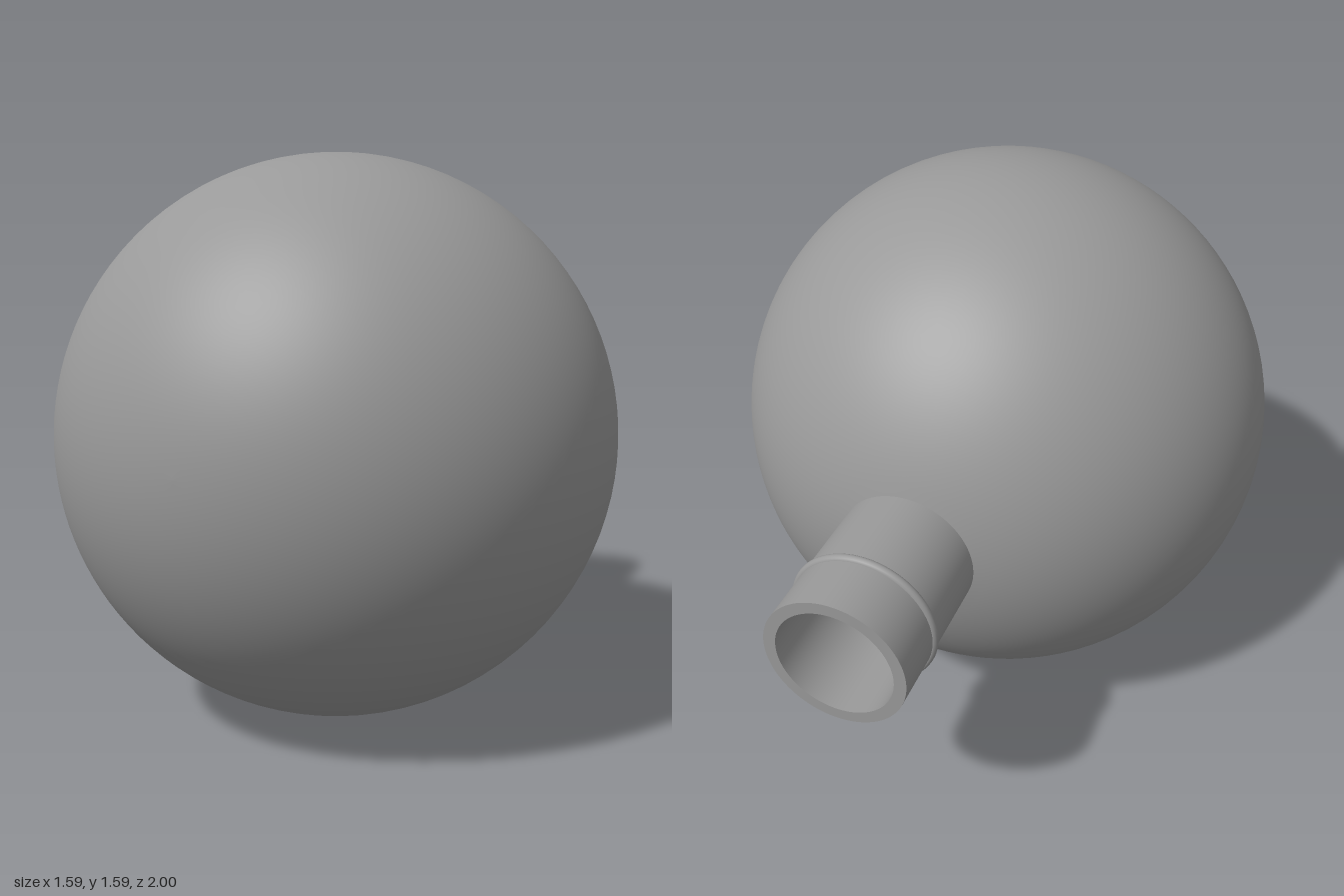
import * as THREE from 'three';

export function createModel() {
  const group = new THREE.Group();
  const grey = new THREE.MeshStandardMaterial({ color: 0x999999 });
  grey.name = 'grey';

  const R = 0.797;         // bulb radius
  const wall = 0.033;      // wall thickness
  const neckR = 0.193;     // neck outer radius
  const boreR = neckR - wall;
  const cavityR = R - wall;
  const mouth = 2 - R;     // distance from bulb centre to mouth

  // Everything is turned around one axis, running from the bulb to the mouth
  const flask = new THREE.Group();
  flask.name = 'flask';
  flask.position.set(0, R, 1 - R);
  flask.rotation.x = -Math.PI / 2;
  group.add(flask);

  function turned(name, points, segments = 96) {
    const profile = points.map(([r, h]) => new THREE.Vector2(r, h));
    const mesh = new THREE.Mesh(new THREE.LatheGeometry(profile, segments), grey);
    mesh.name = name;
    flask.add(mesh);
    return mesh;
  }

  // Arc from the closed pole up to the opening of the given radius
  function arc(radius, opening, steps = 64) {
    const end = Math.PI - Math.asin(opening / radius);
    return Array.from({ length: steps + 1 }, (_, i) => {
      const a = (end * i) / steps;
      return [radius * Math.sin(a), -radius * Math.cos(a)];
    });
  }

  const outerJoin = Math.sqrt(R * R - neckR * neckR);
  const innerJoin = Math.sqrt(cavityR * cavityR - boreR * boreR);

  // Hollow bulb
  turned('bulb', arc(R, neckR));
  turned('bulbInterior', arc(cavityR, boreR).reverse());

  // Open neck with its flat lip
  turned('neck', [[neckR, outerJoin], [neckR, mouth]]);
  turned('lip', [[neckR, mouth], [boreR, mouth]]);
  turned('bore', [[boreR, mouth], [boreR, innerJoin]]);

  // Rounded bead around the neck
  const bead = new THREE.Mesh(new THREE.TorusGeometry(0.19, 0.013, 16, 96), grey);
  bead.name = 'neckBead';
  bead.rotation.x = Math.PI / 2;
  bead.position.y = mouth - 0.17;
  flask.add(bead);

  return group;
}
